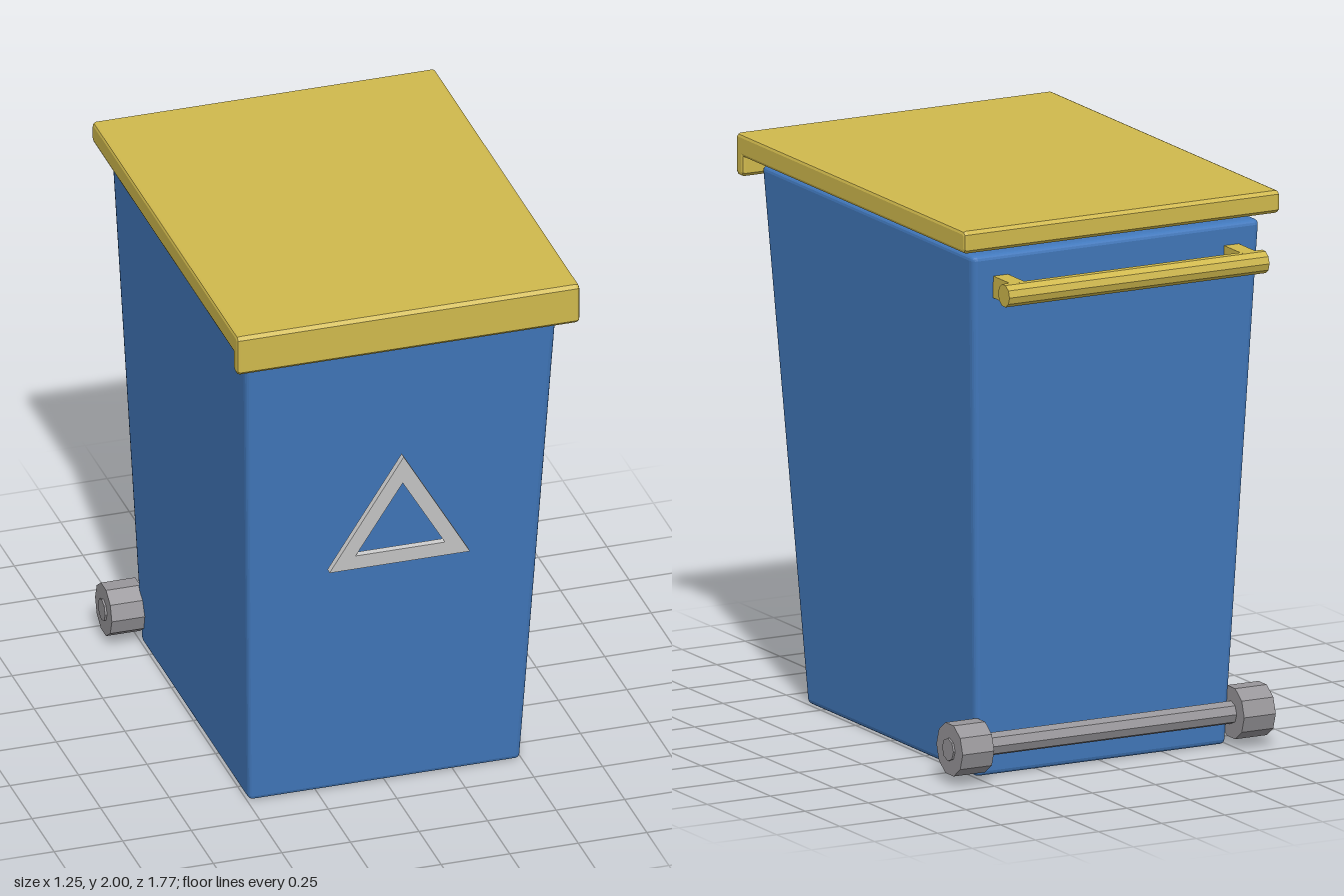
import * as THREE from 'three';
import { RoundedBoxGeometry } from 'three/addons/geometries/RoundedBoxGeometry.js';

const material = (name, color) => {
  const m = new THREE.MeshStandardMaterial({ color });
  m.name = name;
  return m;
};

// Gives every face its own flat normal
function faceted(geometry) {
  const g = geometry.index ? geometry.toNonIndexed() : geometry;
  g.computeVertexNormals();
  return g;
}

// Faceted cylinder lying along x
const rod = (radius, length, sides) =>
  faceted(new THREE.CylinderGeometry(radius, radius, length, sides).rotateZ(Math.PI / 2));

export function createModel() {
  const blue = material('blue plastic', 0x4279bd);
  const yellow = material('yellow plastic', 0xd0b94d);
  const grey = material('wheel grey', 0x98969a);
  const silver = material('light grey', 0xcbcbcb);

  const bin = new THREE.Group();
  bin.name = 'wheeledBin';
  const add = (name, geometry, mat, x = 0, y = 0, z = 0) => {
    const mesh = new THREE.Mesh(geometry, mat);
    mesh.name = name;
    mesh.position.set(x, y, z);
    bin.add(mesh);
    return mesh;
  };

  // Body: rounded box, widened towards the top and more so at the front
  const height = 1.893;
  const body = new RoundedBoxGeometry(1, height, 1, 2, 0.018);
  const p = body.attributes.position;
  for (let i = 0; i < p.count; i++) {
    const t = p.getY(i) / height + 0.5;
    const back = THREE.MathUtils.lerp(-0.61, -0.722, t);
    const front = THREE.MathUtils.lerp(0.613, 0.808, t);
    p.setX(i, p.getX(i) * THREE.MathUtils.lerp(0.99, 1.14, t));
    p.setZ(i, THREE.MathUtils.lerp(back, front, p.getZ(i) + 0.5));
  }
  add('body', faceted(body), blue, 0, height / 2 + 0.002, 0);

  // Lid: flat plate with a lip hanging down at the front, drawn as (z, y)
  const c = 0.012;
  const [zb, zf, zl, yt, yu, yl] = [-0.763, 0.886, 0.836, 2, 1.92, 1.85];
  const profile = new THREE.Shape([
    [zb, yu + c], [zb + c, yu], [zl, yu], [zl, yl + c], [zl + c, yl], [zf - c, yl],
    [zf, yl + c], [zf, yt - c], [zf - c, yt], [zb + c, yt], [zb, yt - c],
  ].map(([z, y]) => new THREE.Vector2(z, y)));
  const lidWidth = 1.25;
  const lid = new THREE.ExtrudeGeometry(profile, {
    depth: lidWidth - 2 * c, bevelThickness: c, bevelSize: c, bevelOffset: -c, bevelSegments: 2,
  });
  lid.translate(0, 0, c - lidWidth / 2).rotateY(-Math.PI / 2);
  add('lid', lid, yellow);

  // Push handle on two brackets
  add('handleBar', rod(0.041, 1.03, 10), yellow, 0, 1.778, -0.845);
  for (const side of [-1, 1]) {
    add('handleBracket', new THREE.BoxGeometry(0.058, 0.078, 0.145), yellow, side * 0.457, 1.778, -0.772);
  }

  // Axle with a wheel at each end
  add('axle', rod(0.041, 1.254, 8), grey, 0, 0.125, -0.645);
  for (const side of [-1, 1]) {
    add('wheel', rod(0.095, 0.125, 10), grey, side * 0.5575, 0.125, -0.645);
  }

  // Triangular frame standing just off the front, leaning with it
  const triangle = (Path, halfWidth, bottom, top) => new Path([
    new THREE.Vector2(-halfWidth, bottom), new THREE.Vector2(halfWidth, bottom), new THREE.Vector2(0, top),
  ]);
  const frame = triangle(THREE.Shape, 0.256, 0, 0.442);
  frame.holes.push(triangle(THREE.Path, 0.163, 0.055, 0.333));
  const emblem = add('triangleFrame',
    new THREE.ExtrudeGeometry(frame, { depth: 0.023, bevelEnabled: false }), silver, 0, 0.957, 0.759);
  emblem.rotation.x = Math.atan(0.103);

  return bin;
}
